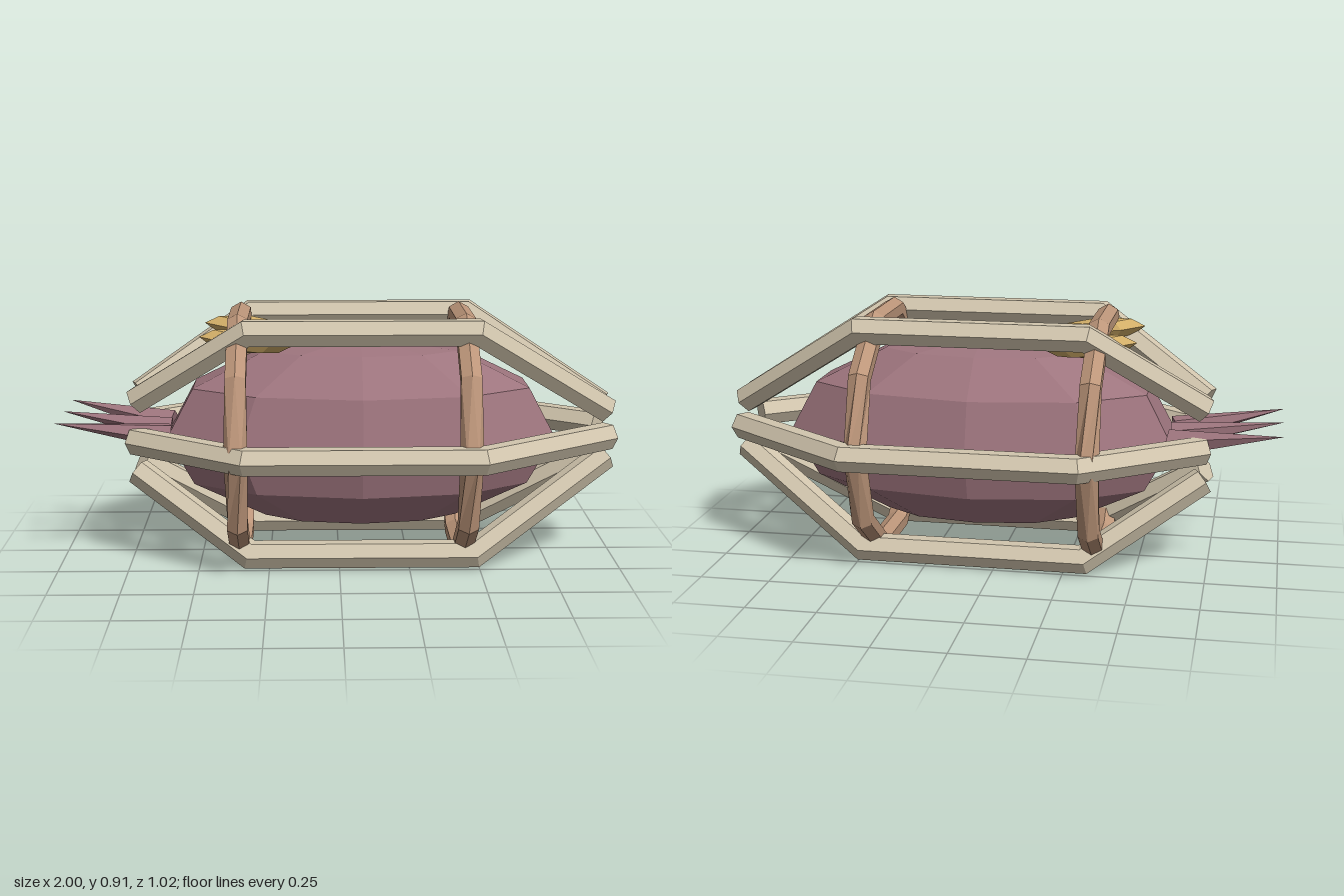
import * as THREE from 'three';

const mat = (name, color) => {
  const m = new THREE.MeshStandardMaterial({ color, flatShading: true });
  m.name = name;
  return m;
};

// Hexagonal beam swept through planar sections {x, y, nx, ny, roll}; n is the (mitred) outward direction
function hexBeam(sections, radius, closed) {
  const sides = 6, pos = [], index = [], count = sections.length;
  for (const s of sections) {
    for (let j = 0; j < sides; j++) {
      const a = (j / sides) * Math.PI * 2 + (s.roll || 0);
      const c = Math.cos(a) * radius;
      pos.push(s.x + s.nx * c, s.y + s.ny * c, Math.sin(a) * radius);
    }
  }
  for (let i = 0; i < (closed ? count : count - 1); i++) {
    for (let j = 0; j < sides; j++) {
      const k = (j + 1) % sides, n = (i + 1) % count;
      const a = i * sides + j, b = i * sides + k, c = n * sides + k, d = n * sides + j;
      index.push(a, b, c, a, c, d);
    }
  }
  if (!closed) {
    const e = (count - 1) * sides;
    for (let j = 1; j < sides - 1; j++) index.push(0, j + 1, j, e, e + j, e + j + 1);
  }
  const g = new THREE.BufferGeometry();
  g.setAttribute('position', new THREE.Float32BufferAttribute(pos, 3));
  g.setIndex(index);
  const flat = g.toNonIndexed();
  flat.computeVertexNormals();
  return flat;
}

// Sections of an open path with mitred corners
function mitred(points) {
  const normal = (p, q) => new THREE.Vector2(p[1] - q[1], q[0] - p[0]).normalize();
  return points.map((p, i) => {
    const before = i > 0 ? normal(points[i - 1], p) : normal(p, points[1]);
    const after = i < points.length - 1 ? normal(p, points[i + 1]) : before;
    const n = before.clone().add(after).normalize();
    n.divideScalar(n.dot(before));
    return { x: p[0], y: p[1], nx: n.x, ny: n.y };
  });
}

export function createModel() {
  const model = new THREE.Group();
  const axisY = 0.455;
  const mauve = mat('mauve skin', 0x9d747d);
  const bone = mat('pale bone', 0xd2c6ae);
  const tan = mat('tan wood', 0xbd967a);
  const gold = mat('gold', 0xd2ae68);

  const add = (name, geometry, material, x, y, z) => {
    const mesh = new THREE.Mesh(geometry, material);
    mesh.name = name;
    mesh.position.set(x, y, z);
    model.add(mesh);
    return mesh;
  };

  // Faceted, stretched body
  const bodyGeo = new THREE.SphereGeometry(0.35, 10, 6, Math.PI / 10);
  bodyGeo.scale(0.73 / 0.35, 1, 1);
  add('body', bodyGeo, mauve, 0.08, axisY, 0);

  // Six long ribs around the body
  const ribGeo = hexBeam(mitred([[-0.725, 0.15], [-0.32, 0.46], [0.48, 0.46], [0.967, 0.1]]), 0.051, false);
  for (let i = 0; i < 6; i++) {
    add('rib', ribGeo, bone, 0, axisY, 0).rotation.x = Math.PI / 6 + (i * Math.PI) / 3;
  }

  // Two ten-sided hoops, their beams twisting towards the sides
  const hoopSections = [];
  for (let i = 0; i < 10; i++) {
    const a = (-i / 10) * Math.PI * 2, c = Math.cos(a), s = Math.sin(a);
    hoopSections.push({ x: c * 0.435, y: s * 0.435, nx: c, ny: s, roll: i % 5 === 0 ? Math.PI / 6 : 0 });
  }
  const hoopGeo = hexBeam(hoopSections, 0.041, true);
  for (const x of [-0.355, 0.445]) add('hoop', hoopGeo, tan, x, axisY, 0).rotation.y = Math.PI / 2;

  // Three tail spikes fanning out
  for (const side of [-1, 0, 1]) {
    const base = new THREE.Vector3(-0.61, 0.462, side * 0.1);
    const tip = new THREE.Vector3(-1, 0.53, side * 0.2);
    const dir = tip.clone().sub(base);
    const spikeGeo = new THREE.ConeGeometry(0.05, dir.length(), 5);
    const mid = base.clone().add(tip).multiplyScalar(0.5);
    const spike = add('tailSpike', spikeGeo, mauve, mid.x, mid.y, mid.z);
    spike.quaternion.setFromUnitVectors(new THREE.Vector3(0, 1, 0), dir.normalize());
  }

  // Pair of golden lugs beneath the rear hoop
  const lugGeo = new THREE.SphereGeometry(1, 6, 4);
  lugGeo.scale(0.165, 0.042, 0.063);
  for (const side of [-1, 1]) {
    add('lug', lugGeo, gold, -0.325, 0.812, side * 0.155).rotation.z = -0.1;
  }

  return model;
}
